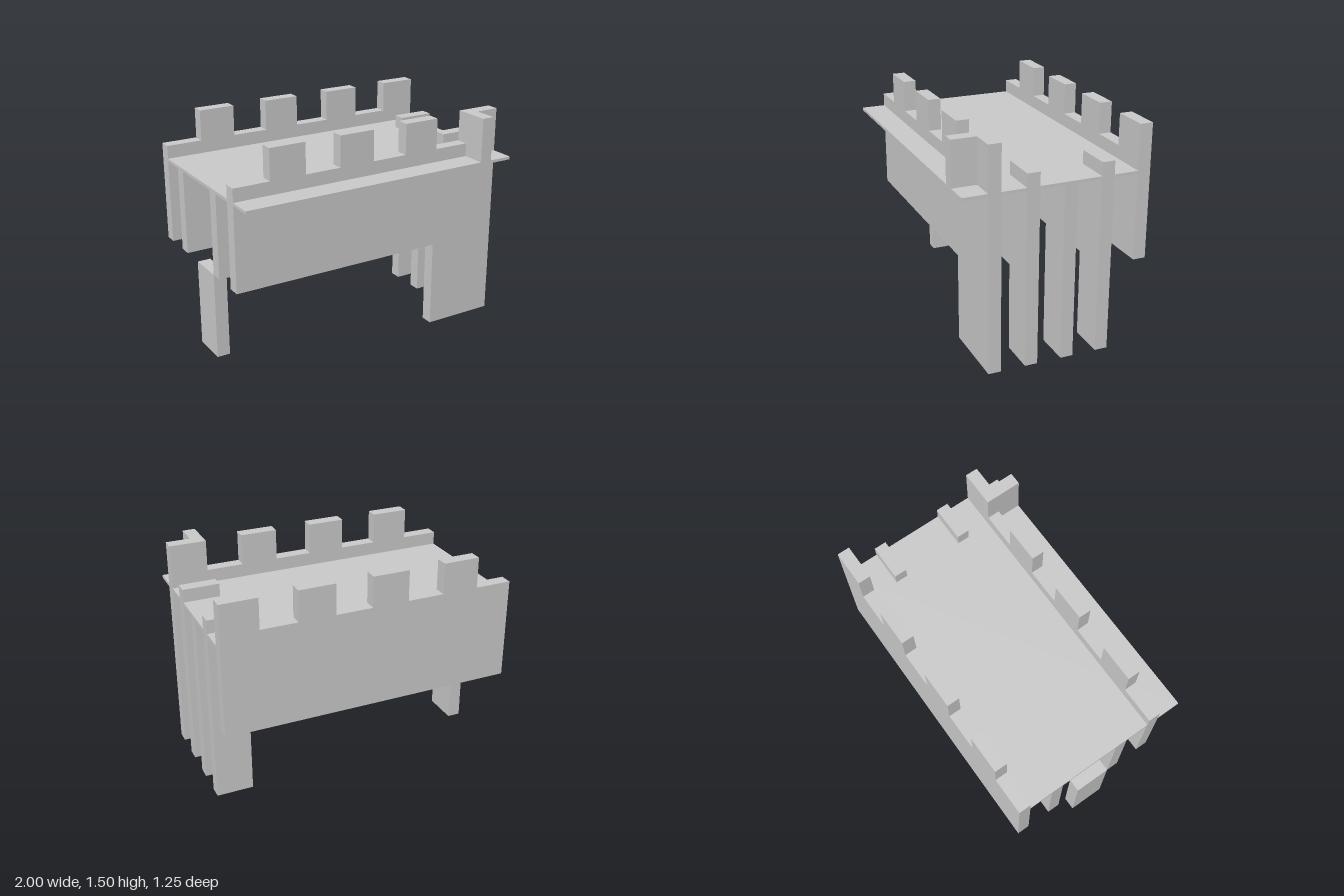
import * as THREE from 'three';

const T = 0.085; // board thickness
const material = new THREE.MeshStandardMaterial({ color: 0xcccccc, flatShading: true });

// Box given by its limits on each axis
function box(name, [x0, x1], [y0, y1], [z0, z1]) {
  const mesh = new THREE.Mesh(new THREE.BoxGeometry(x1 - x0, y1 - y0, z1 - z0), material);
  mesh.position.set((x0 + x1) / 2, (y0 + y1) / 2, (z0 + z1) / 2);
  mesh.name = name;
  return mesh;
}

// Upright board cut from an x-y outline, its back face at z
function board(name, outline, z) {
  const shape = new THREE.Shape(outline.map(([x, y]) => new THREE.Vector2(x, y)));
  const geometry = new THREE.ExtrudeGeometry(shape, { depth: T, bevelEnabled: false });
  const mesh = new THREE.Mesh(geometry, material);
  mesh.position.z = z;
  mesh.name = name;
  return mesh;
}

// Top edge with four merlons, running from right (-x) to left (+x)
function battlements() {
  const points = [[-1, 1.29]];
  for (let i = 0; i < 4; i++) {
    const x = -0.75 + i * 0.5;
    points.push([x, 1.29], [x, 1.5], [x + 0.25, 1.5]);
    if (i < 3) points.push([x + 0.25, 1.29]);
  }
  return points;
}

// Lower edge with a leg at the +x end, running from +x to -x
const legEdge = (x) => [[1, 0], [x, 0], [x, 0.6], [-1, 0.6]];

export function createModel() {
  const group = new THREE.Group();
  group.name = 'battlementedPlatform';

  // Outer walls
  group.add(board('frontWall', [...battlements(), ...legEdge(0.5)], 0.375));
  group.add(board('backWall', [...battlements(), [1, 0.6], [-1, 0.6]], -0.625));

  // Inner walls with a raised stub above the deck
  const innerOutline = [[-1, 1.18], [0.75, 1.18], [0.75, 1.29], [1, 1.29], ...legEdge(0.75)];
  for (const z of [0.125, -0.375]) group.add(board('innerWall', innerOutline, z));

  // Deck
  group.add(box('deck', [-1, 1], [1.18, 1.2], [-0.625, 0.625]));

  // Corner return on the front battlement
  group.add(box('cornerReturn', [0.75, 0.75 + T], [1.2, 1.5], [0.375 + T, 0.625]));

  // Middle leg and the short post at the far end
  group.add(box('middleLeg', [0.75, 1], [0, 1.18], [-0.125, -0.125 + T]));
  group.add(box('endPost', [-1, -0.91], [0, 0.6], [-0.125, 0.125]));

  return group;
}
